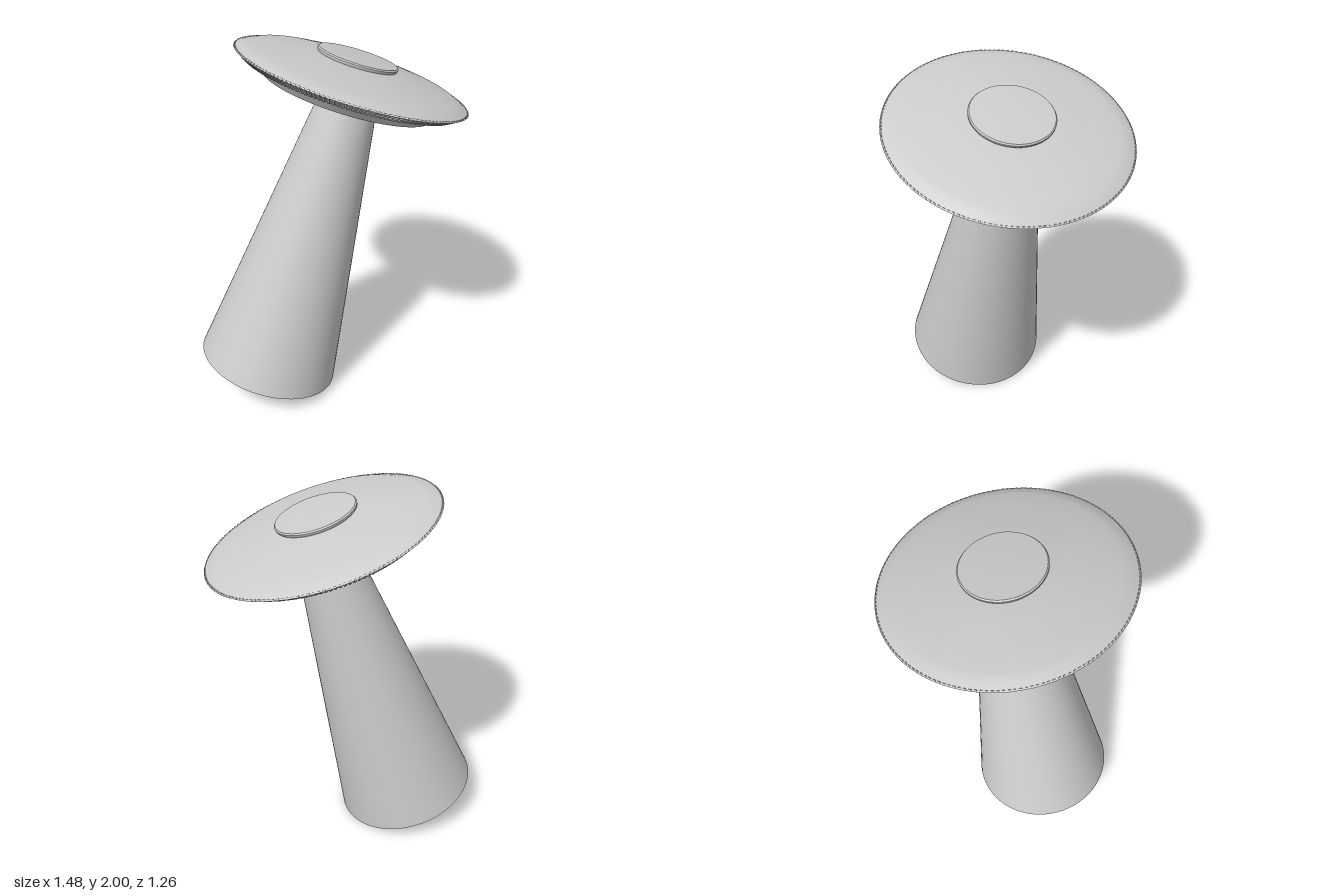
import * as THREE from 'three';
import { mergeGeometries, toCreasedNormals } from 'three/addons/utils/BufferGeometryUtils.js';

const SEG = 96;
const material = new THREE.MeshStandardMaterial({ color: 0xcccccc });

export function createModel() {
  const model = new THREE.Group();

  // The whole craft and its beam lean together about the rim centre
  const craft = new THREE.Group();
  craft.name = 'tiltedCraft';
  craft.position.set(0.135, 1.807, 0);
  craft.rotation.z = THREE.MathUtils.degToRad(-17);
  model.add(craft);

  const add = (name, geometry) => {
    const mesh = new THREE.Mesh(geometry, material);
    mesh.name = name;
    craft.add(mesh);
    return mesh;
  };
  // Profiles run from the bottom upwards so that the faces look outwards
  const lathe = (points, crease) => {
    const g = new THREE.LatheGeometry(points.map(([r, y]) => new THREE.Vector2(r, y)), SEG);
    return crease ? toCreasedNormals(g, crease) : g;
  };

  // Upper shell with a shallow bevel near the rim
  add('upperShell', lathe([
    [0.628, 0], [0.59, 0.019], [0.548, 0.035], [0.45, 0.051],
    [0.33, 0.069], [0.2, 0.087], [0, 0.095],
  ]));

  // Flat cockpit cap with a small rounded lip
  add('cockpitCap', lathe([
    [0.206, 0.08], [0.215, 0.093], [0.216, 0.101], [0.21, 0.108],
    [0.14, 0.112], [0, 0.114],
  ], 0.7));

  // Lower hull, stepped ring and the recessed band behind the ribs
  add('lowerHull', lathe([
    [0, -0.091], [0.458, -0.091], [0.505, -0.044], [0.508, -0.034],
    [0.562, -0.034], [0.612, -0.004], [0.628, 0],
  ], 0.35));

  // Ribs around the sloping rim band
  const ribCount = 160;
  const ribs = [];
  const slope = Math.atan2(0.035, 0.053);
  for (let i = 0; i < ribCount; i++) {
    const rib = new THREE.BoxGeometry(0.062, 0.01, 0.013);
    rib.rotateZ(slope);
    rib.translate(0.599, -0.014, 0);
    rib.rotateY((i / ribCount) * Math.PI * 2);
    ribs.push(rib);
  }
  add('rimRibs', mergeGeometries(ribs));

  // Two circles of round lamps under the hull
  const lampRow = (name, distance, radius) => {
    const parts = [];
    for (let i = 0; i < 8; i++) {
      const a = (i / 8) * Math.PI * 2;
      const ring = new THREE.TorusGeometry(radius, 0.006, 8, 24).rotateX(Math.PI / 2);
      const lens = new THREE.CylinderGeometry(radius, radius, 0.006, 24);
      for (const g of [ring, lens]) {
        g.translate(distance * Math.cos(a), -0.092, distance * Math.sin(a));
        parts.push(g);
      }
    }
    add(name, mergeGeometries(parts));
  };
  lampRow('outerLamps', 0.36, 0.034);
  lampRow('innerLamps', 0.21, 0.02);

  // Light beam, a closed widening cone
  const beamTop = -0.088, beamBottom = -1.757;
  const beam = add('lightBeam',
    new THREE.CylinderGeometry(0.15, 0.4, beamTop - beamBottom, 64));
  beam.position.set(0.018, (beamTop + beamBottom) / 2, 0);

  return model;
}
